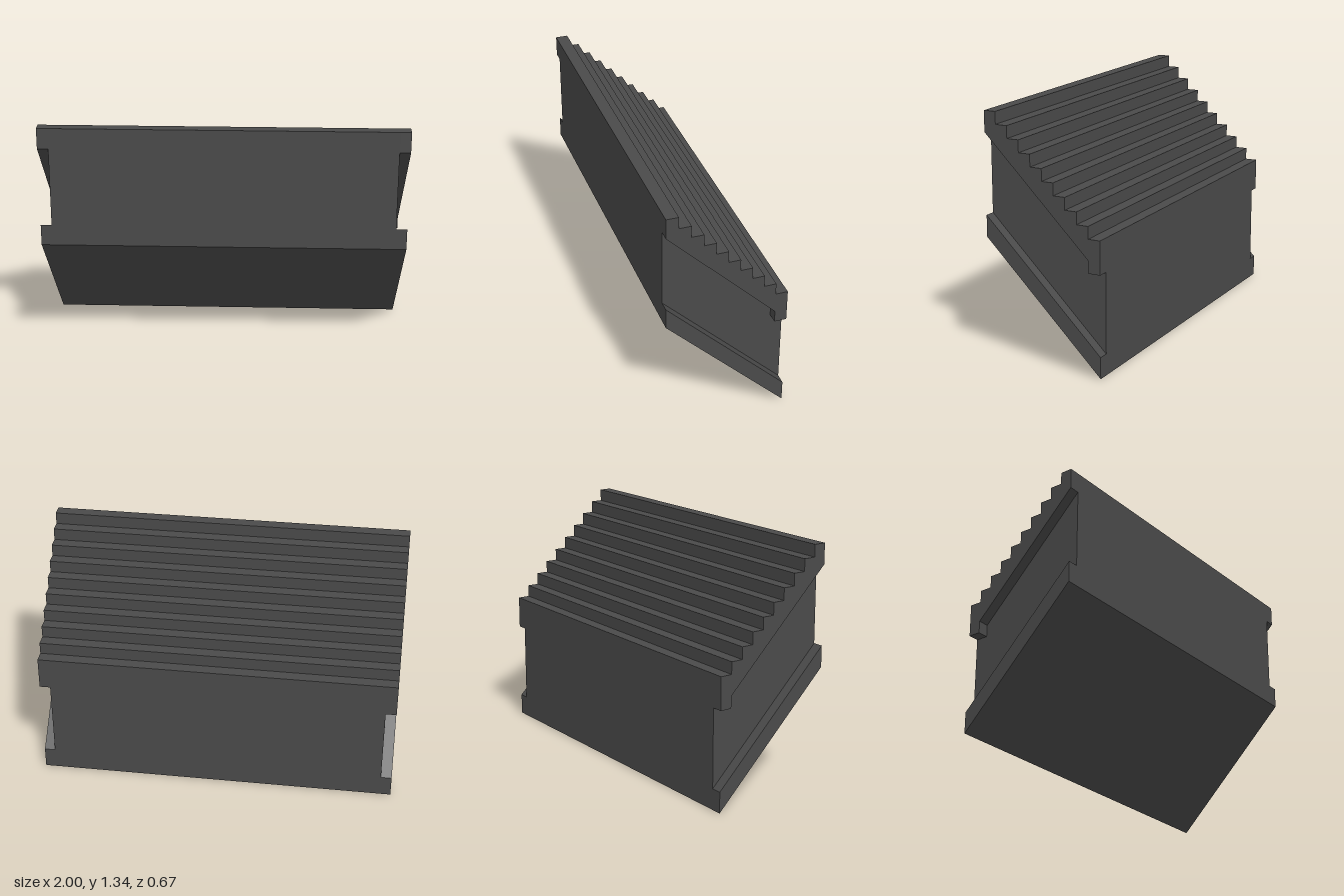
import * as THREE from 'three';

const STEPS = 10, HALF = 0.335, RISE = 2 * HALF / STEPS, TOP = 1.34;
const LIP = 0.06; // depth of the side channels

// Stepped top edge, from the front top corner down to the back
function stairLine() {
  const points = [];
  for (let i = 0; i < STEPS; i++) {
    const y = TOP - i * RISE;
    points.push([HALF - i * RISE, y], [HALF - (i + 1) * RISE, y]);
  }
  return points;
}

// Extrudes a [z, y] outline along x, centred on the given x
function slab(name, outline, width, x, material) {
  const shape = new THREE.Shape(outline.map(([z, y]) => new THREE.Vector2(z, y)));
  const geometry = new THREE.ExtrudeGeometry(shape, { depth: width, bevelEnabled: false });
  geometry.translate(0, 0, -width / 2);
  geometry.rotateY(-Math.PI / 2);
  const mesh = new THREE.Mesh(geometry, material);
  mesh.name = name;
  mesh.position.x = x;
  return mesh;
}

export function createModel() {
  const group = new THREE.Group();
  group.name = 'stairBlock';
  const darkGrey = new THREE.MeshStandardMaterial({ color: 0x4a4a4a });
  darkGrey.name = 'darkGrey';

  // Main body with steps on top and a sloping underside
  const body = [...stairLine(), [-HALF, 0], [HALF, 0.67]];
  group.add(slab('steppedBody', body, 2 - 2 * LIP, 0, darkGrey));

  // Flanges above and below the sloping channel on each side
  const upper = [...stairLine(), [-HALF, 0.556], [-HALF + RISE, 0.556], [-HALF + RISE, 0.623], [HALF, 1.226]];
  const lower = [[HALF, 0.787], [-HALF, 0.117], [-HALF, 0], [HALF, 0.67]];
  for (const [side, sign] of [['left', 1], ['right', -1]]) {
    const x = sign * (1 - LIP / 2);
    group.add(slab(side + 'UpperFlange', upper, LIP, x, darkGrey));
    group.add(slab(side + 'LowerFlange', lower, LIP, x, darkGrey));
  }
  return group;
}
